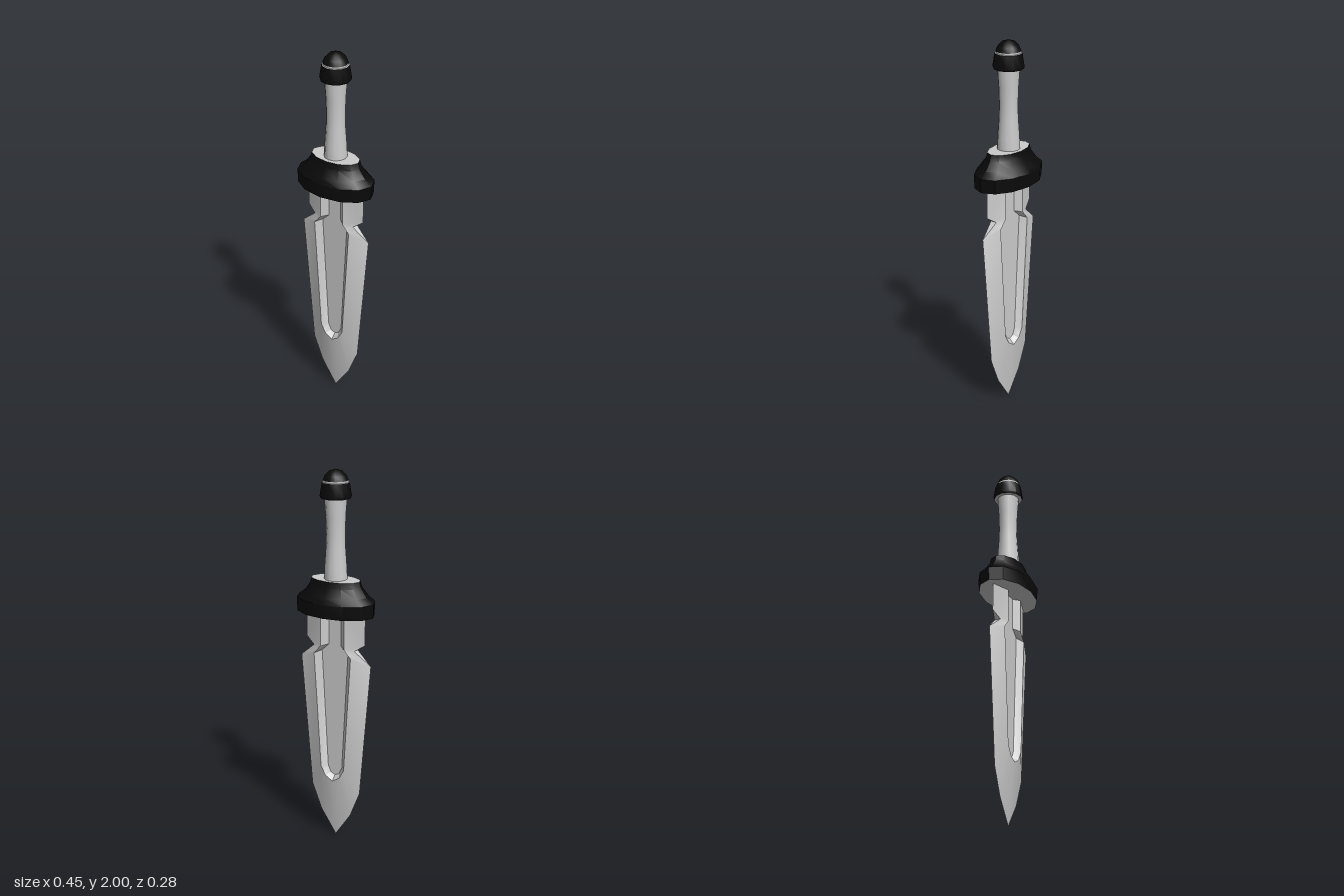
import * as THREE from 'three';
import { toCreasedNormals } from 'three/addons/utils/BufferGeometryUtils.js';

const steel = new THREE.MeshStandardMaterial({ color: 0xcccccc });
steel.name = 'pale steel';
const black = new THREE.MeshStandardMaterial({ color: 0x0a0a0a });
black.name = 'black';

// Oval turned part from [half width, half depth, height] rings, bottom to top
function turned(name, material, rings, sides = 12, crease = 0.6) {
  const g = new THREE.LatheGeometry(rings.map(([rx, , y]) => new THREE.Vector2(rx, y)), sides);
  const p = g.attributes.position;
  for (let i = 0; i < p.count; i++) {
    const [rx, rz] = rings[i % rings.length];
    if (rx > 0) p.setZ(i, p.getZ(i) * rz / rx);
  }
  const mesh = new THREE.Mesh(toCreasedNormals(g, crease), material);
  mesh.name = name;
  return mesh;
}
const round = (pts) => pts.map(([r, y]) => [r, r, y]);

// Blade: one quarter as columns from cutting edge to centre, mirrored four ways
function makeBlade() {
  const ridgeZ = 0.037, floorZ = 0.008;
  const edge = [[0.175, 1.28, 0], [0.175, 1.105, 0], [0.122, 1.07, 0.018], [0.21, 0.997, 0],
    [0.147, 0.27, 0], [0.09, 0.13, 0], [0, 0, 0]];
  const ridge = [[0.07, 1.28], [0.07, 1.075], [0.09, 1.0525], [0.11, 1.03],
    [0.07, 0.4], [0.042, 0.35], [0, 0.325]].map(([x, y]) => [x, y, ridgeZ]);
  const floor = [[0.037, 1.28], [0.037, 1.083], [0.0575, 1.064], [0.078, 1.045],
    [0.042, 0.4], [0.025, 0.363], [0, 0.352]].map(([x, y]) => [x, y, floorZ]);
  const centre = floor.map(([, y, z]) => [0, y, z]);
  const columns = [edge, ridge, floor, centre];

  const tris = [];
  for (let j = 0; j < 3; j++) {
    for (let i = 0; i < 6; i++) {
      const a = columns[j][i], b = columns[j + 1][i];
      const c = columns[j + 1][i + 1], d = columns[j][i + 1];
      tris.push([b, c, d], [b, d, a]);
    }
  }
  // walls of the notch below the shoulder
  const inner = [edge[2][0], edge[2][1], 0];
  tris.push([edge[1], edge[2], inner], [edge[2], edge[3], inner]);

  const same = (p, q) => p.every((v, k) => v === q[k]);
  const solid = tris.filter(([a, b, c]) => !same(a, b) && !same(b, c) && !same(a, c));
  const out = [];
  for (const sx of [1, -1]) for (const sz of [1, -1]) {
    for (const [a, b, c] of solid) {
      for (const [x, y, z] of sx * sz > 0 ? [a, b, c] : [a, c, b]) out.push(x * sx, y, z * sz);
    }
  }
  const g = new THREE.BufferGeometry();
  g.setAttribute('position', new THREE.Float32BufferAttribute(out, 3));
  const mesh = new THREE.Mesh(toCreasedNormals(g, 0.45), steel);
  mesh.name = 'blade';
  return mesh;
}

export function createModel() {
  const model = new THREE.Group();
  model.name = 'dagger';
  model.add(makeBlade());

  // Guard: black flared sides with bare metal top and underside
  model.add(
    turned('guardUnderside', steel, [[0, 0, 1.257], [0.22, 0.134, 1.257]]),
    turned('guard', black, [[0.22, 0.134, 1.257], [0.223, 0.138, 1.33], [0.182, 0.12, 1.36],
      [0.15, 0.086, 1.405], [0.14, 0.081, 1.437]]),
    turned('guardTop', steel, [[0.14, 0.081, 1.437], [0, 0, 1.437]]),
  );

  // Waisted grip
  model.add(turned('grip', steel, round([[0.06, 1.43], [0.057, 1.5], [0.05, 1.6],
    [0.048, 1.67], [0.051, 1.76], [0.058, 1.86]]), 12, 0.8));

  // Pommel: black collar, thin metal ring and black dome
  model.add(
    turned('collarUnderside', steel, round([[0, 1.855], [0.077, 1.855]])),
    turned('collar', black, round([[0.077, 1.855], [0.081, 1.865], [0.07, 1.934]])),
    turned('pommelRing', steel, round([[0.07, 1.934], [0.065, 1.936], [0.065, 1.944]])),
    turned('pommelDome', black, round([[0.065, 1.944], [0.055, 1.968], [0.034, 1.99], [0, 2]])),
  );
  return model;
}
